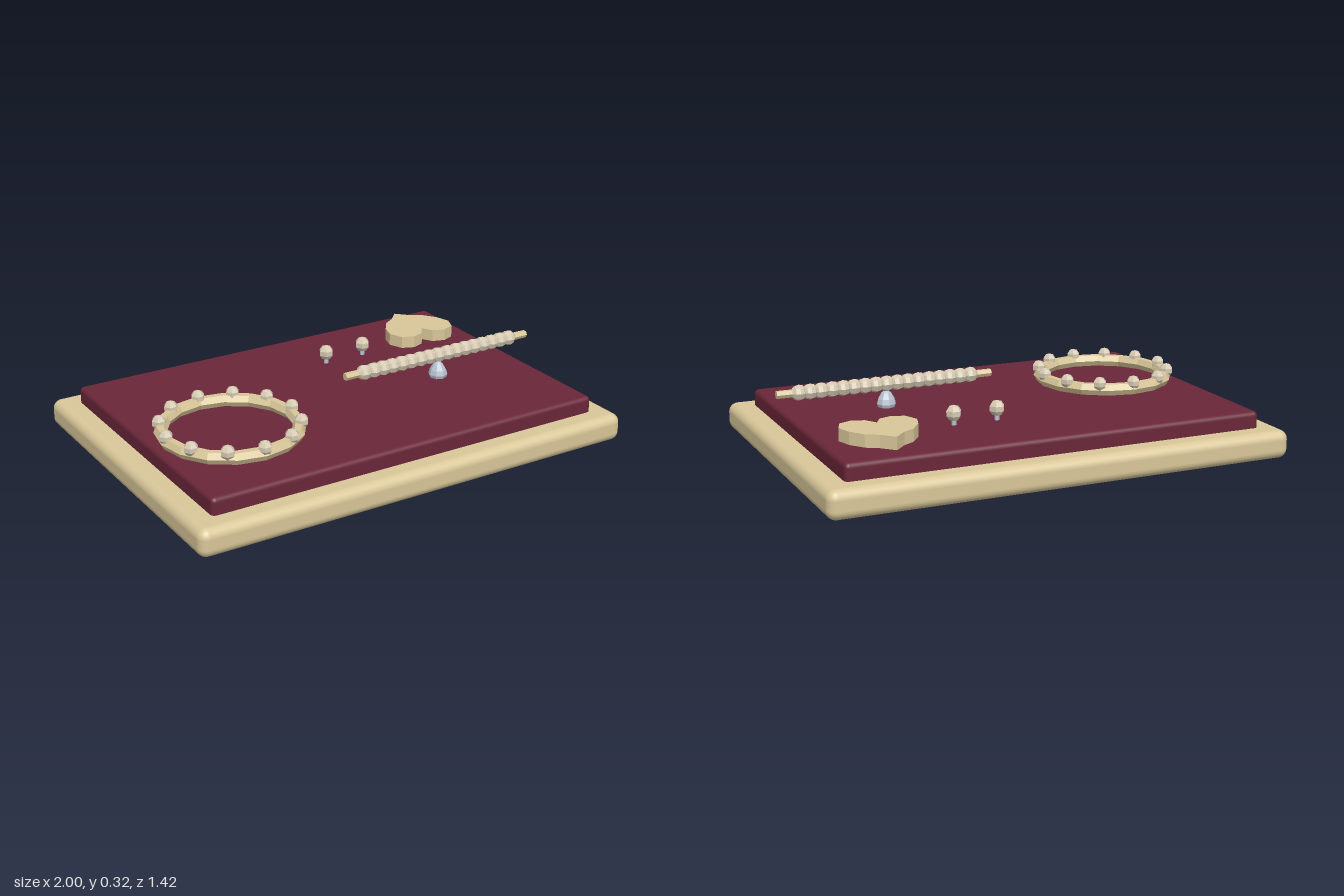
import * as THREE from 'three';
import { RoundedBoxGeometry } from 'three/addons/geometries/RoundedBoxGeometry.js';

export function createModel() {
  const model = new THREE.Group();
  const mat = (color, flatShading = true) => new THREE.MeshStandardMaterial({ color, flatShading });
  const gold = mat(0xd9c799), pearl = mat(0xd6cab2), silver = mat(0xb9c3d0);
  const add = (parent, name, geometry, material, x = 0, y = 0, z = 0) => {
    const mesh = new THREE.Mesh(geometry, material);
    mesh.name = name;
    mesh.position.set(x, y, z);
    parent.add(mesh);
    return mesh;
  };
  const group = (name, x, y, z) => {
    const g = new THREE.Group();
    g.name = name;
    g.position.set(x, y, z);
    model.add(g);
    return g;
  };

  // Tray and cushion
  add(model, 'trayBase', new RoundedBoxGeometry(2, 0.12, 1.425, 4, 0.04), mat(0xd9c799, false), 0, 0.06, 0);
  add(model, 'velvetPad', new RoundedBoxGeometry(1.805, 0.09, 1.235, 3, 0.02), mat(0x6a2638, false), 0, 0.145, 0);

  // Bracelet: faceted ring with twelve beads
  const bracelet = group('bracelet', -0.57, 0.214, 0.14);
  const band = new THREE.TorusGeometry(0.28, 0.028, 6, 16).rotateX(Math.PI / 2);
  add(bracelet, 'braceletBand', band, gold);
  const bead = new THREE.SphereGeometry(0.031, 6, 5);
  for (let i = 0; i < 12; i++) {
    const a = i * Math.PI / 6;
    add(bracelet, 'braceletBead', bead, pearl, 0.285 * Math.cos(a), 0.026, 0.285 * Math.sin(a));
  }

  // Necklace: rod threaded with beads
  const necklace = group('necklace', 0.475, 0.29, 0.093);
  add(necklace, 'necklaceRod', new THREE.CylinderGeometry(0.017, 0.017, 0.95, 6).rotateZ(Math.PI / 2), gold);
  const pearlBead = new THREE.SphereGeometry(0.034, 8, 6).rotateZ(Math.PI / 2);
  for (let i = 0; i < 17; i++) add(necklace, 'necklaceBead', pearlBead, pearl, (i - 8) * 0.0475, 0, 0);

  // Drop pendant below the necklace
  const drop = [[0, 0], [0.036, 0], [0.042, 0.016], [0.036, 0.037], [0.022, 0.06], [0, 0.078]]
    .map(([r, y]) => new THREE.Vector2(r, y));
  add(model, 'pendantDrop', new THREE.LatheGeometry(drop, 8), silver, 0.475, 0.188, 0.097);

  // Pair of stud earrings
  for (const x of [0.14, 0.33]) {
    const earring = group('earring', x, 0.24, -0.288);
    add(earring, 'earringBead', new THREE.SphereGeometry(0.034, 6, 5), pearl);
    add(earring, 'earringPost', new THREE.CylinderGeometry(0.01, 0.01, 0.04, 6), silver, 0, -0.034, 0);
  }

  // Heart charm, pointing to the back
  const half = [[0.05, 0.475], [0.1, 0.445], [0.143, 0.385], [0.163, 0.32], [0.138, 0.258], [0.085, 0.237], [0.03, 0.255]];
  const outline = [[0, 0.305], ...half.slice().reverse(), [0, 0.527], ...half.map(([x, y]) => [-x, y])];
  const heart = new THREE.Shape(outline.map(([x, y]) => new THREE.Vector2(x, y)));
  const heartGeometry = new THREE.ExtrudeGeometry(heart, { depth: 0.055, bevelEnabled: false }).rotateX(-Math.PI / 2);
  add(model, 'heartCharm', heartGeometry, gold, 0.663, 0.188, 0);

  return model;
}
